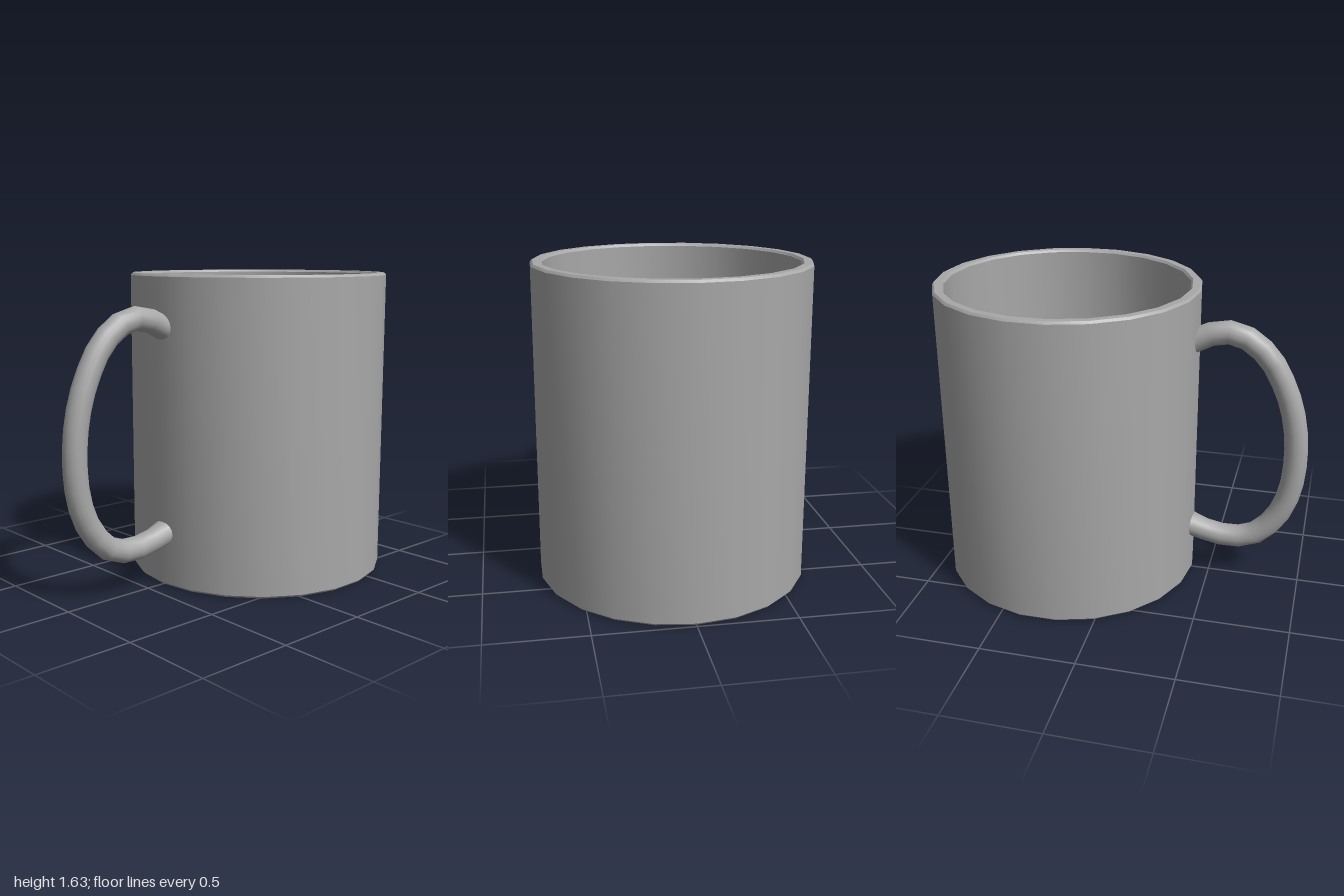
import * as THREE from 'three';
import { toCreasedNormals } from 'three/addons/utils/BufferGeometryUtils.js';

const BODY_X = 0.295;
const SIDES = 22;

export function createModel() {
  const group = new THREE.Group();
  group.name = 'mug';
  const grey = new THREE.MeshStandardMaterial({ color: 0xa8a8a8 });
  grey.name = 'ceramicGrey';

  // Cup: closed wall profile with small bevels at the foot and rim
  const profile = [
    [0, 0], [0.688, 0], [0.7, 0.012], [0.7, 1.623], [0.69, 1.635],
    [0.652, 1.635], [0.642, 1.623], [0.642, 0.07], [0.632, 0.06], [0, 0.06],
  ].map(([r, y]) => new THREE.Vector2(r, y));
  const cup = new THREE.Mesh(
    toCreasedNormals(new THREE.LatheGeometry(profile, SIDES, Math.PI / 2), 0.5), grey);
  cup.name = 'cup';
  cup.position.x = BODY_X;
  group.add(cup);

  // Handle: round tube along a lopsided loop, both ends buried in the wall
  const path = new THREE.CatmullRomCurve3([
    [-0.375, 1.36], [-0.46, 1.402], [-0.54, 1.42], [-0.615, 1.41], [-0.695, 1.367],
    [-0.777, 1.287], [-0.842, 1.177], [-0.895, 1.045], [-0.928, 0.895], [-0.938, 0.735],
    [-0.925, 0.58], [-0.882, 0.435], [-0.8, 0.315], [-0.715, 0.253], [-0.6, 0.235],
    [-0.49, 0.25], [-0.375, 0.29],
  ].map(([x, y]) => new THREE.Vector3(x, y, 0)));
  const tube = new THREE.TubeGeometry(path, 20, 0.062, 16);

  // Slight widening where the handle meets the wall
  const pos = tube.attributes.position;
  for (let i = 0; i < pos.count; i++) {
    const flare = THREE.MathUtils.smoothstep(pos.getX(i), -0.46, -0.38);
    pos.setZ(i, pos.getZ(i) * (1 + 0.3 * flare));
  }
  const handle = new THREE.Mesh(tube, grey);
  handle.name = 'handle';
  group.add(handle);

  return group;
}
